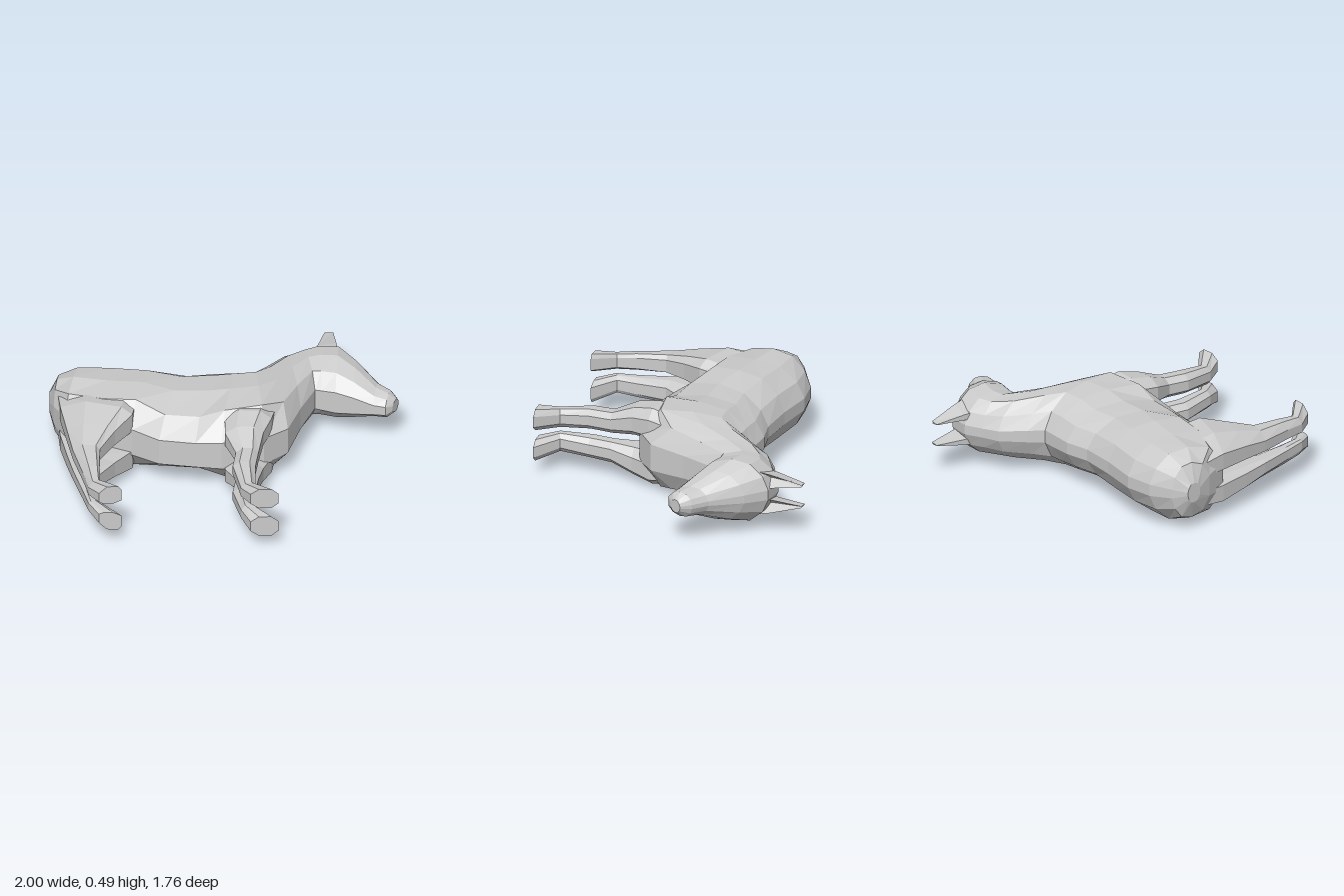
import * as THREE from 'three';

const material = new THREE.MeshStandardMaterial({ color: 0xcccccc, flatShading: true });

// Skin a list of equal-length point rings, close both ends and face it outward.
function loft(name, rings) {
  const tris = [];
  const n = rings[0].length;
  for (let r = 0; r < rings.length - 1; r++) {
    for (let i = 0; i < n; i++) {
      const j = (i + 1) % n;
      const [a, b, c, d] = [rings[r][i], rings[r][j], rings[r + 1][j], rings[r + 1][i]];
      tris.push([a, b, c], [a, c, d]);
    }
  }
  const cap = (ring, flip) => {
    const mid = ring.reduce((m, p) => m.add(p), new THREE.Vector3()).divideScalar(n);
    ring.forEach((p, i) => {
      const q = ring[(i + 1) % n];
      tris.push(flip ? [mid, q, p] : [mid, p, q]);
    });
  };
  cap(rings[0], true);
  cap(rings[rings.length - 1], false);
  const volume = tris.reduce((v, [a, b, c]) => v + a.dot(b.clone().cross(c)), 0);
  const points = tris.flatMap((t) => (volume < 0 ? [t[0], t[2], t[1]] : t));
  const geometry = new THREE.BufferGeometry().setFromPoints(points);
  geometry.computeVertexNormals();
  const mesh = new THREE.Mesh(geometry, material);
  mesh.name = name;
  return mesh;
}

// Body ring between a top and an underside point: half width w, fullness of the lower flank.
// The half outline is [height fraction, width fraction] from underside to top.
function bodyRing([tx, ty, bx, by, w, low]) {
  const half = [[0, 0.37], [0.19, low], [0.48, 1], [0.74, 0.92], [0.92, 0.57], [1, 0.16]];
  const at = ([t, k], s) => new THREE.Vector3(bx + (tx - bx) * t, by + (ty - by) * t, s * k * w);
  return [...half.map((p) => at(p, 1)), ...[...half].reverse().map((p) => at(p, -1))];
}

// Limb outlines: [back to front, inner to outer]
const frontShape = [[0, 0.25], [0, 0.75], [0.3, 1], [0.75, 1], [1, 0.75], [1, 0.25], [0.75, 0], [0.3, 0]];
const hindShape = [[0, 0.1], [0, 0.6], [0.35, 0.97], [0.85, 1], [1, 0.8], [1, 0.2], [0.6, 0], [0.2, 0]];
const earShape = [[0, 0.3], [0, 0.7], [1, 1], [0.45, 0.5], [1, 0]];
function limbRing([bx, by, fx, fy, inner, outer], shape, side) {
  return shape.map(([u, v]) => new THREE.Vector3(
    bx + (fx - bx) * u, by + (fy - by) * u, side * (inner + (outer - inner) * v)));
}

// Rump to upper neck: top x, top y, underside x, underside y, half width, flank fullness
const trunk = [
  [-1.0, 0.23, -0.995, 0.14, 0.06, 0.85],
  [-0.94, 0.3, -0.965, 0.05, 0.17, 0.85],
  [-0.82, 0.37, -0.89, -0.1, 0.22, 0.88],
  [-0.65, 0.4, -0.68, -0.19, 0.225, 0.95],
  [-0.42, 0.37, -0.5, -0.2, 0.235, 0.95],
  [-0.2, 0.36, -0.34, -0.29, 0.22, 0.8],
  [-0.05, 0.395, -0.13, -0.31, 0.22, 0.8],
  [0.08, 0.395, 0.02, -0.31, 0.24, 0.95],
  [0.16, 0.395, 0.26, -0.25, 0.245, 0.98],
  [0.22, 0.48, 0.39, -0.13, 0.22, 0.86],
  [0.32, 0.61, 0.45, 0.1, 0.19, 0.86],
  [0.42, 0.66, 0.52, 0.3, 0.175, 0.86],
];

// Poll to nose
const head = [
  [0.42, 0.66, 0.52, 0.3, 0.175, 0.86],
  [0.51, 0.71, 0.56, 0.29, 0.18, 0.83],
  [0.64, 0.7, 0.64, 0.27, 0.19, 0.8],
  [0.75, 0.595, 0.74, 0.245, 0.15, 0.8],
  [0.88, 0.43, 0.86, 0.21, 0.085, 0.8],
  [0.96, 0.36, 0.93, 0.2, 0.075, 0.8],
  [1.0, 0.3, 0.97, 0.23, 0.04, 0.8],
];

// Limbs: back x, back y, front x, front y, inner, outer
const frontLeg = [
  [0.04, -0.02, 0.32, -0.02, 0.05, 0.2],
  [0.03, -0.18, 0.3, -0.18, 0.04, 0.235],
  [0.04, -0.32, 0.26, -0.3, 0.04, 0.21],
  [0.11, -0.45, 0.24, -0.44, 0.03, 0.155],
  [0.1, -0.58, 0.23, -0.58, 0.03, 0.15],
  [0.16, -0.78, 0.24, -0.75, 0.02, 0.13],
  [0.22, -0.875, 0.38, -0.86, 0.03, 0.16],
];
const hindLeg = [
  [-0.94, 0.05, -0.48, 0.0, 0.03, 0.2],
  [-0.92, -0.08, -0.5, -0.19, 0.03, 0.225],
  [-0.87, -0.28, -0.59, -0.32, 0.03, 0.19],
  [-0.825, -0.45, -0.67, -0.465, 0.025, 0.15],
  [-0.755, -0.66, -0.66, -0.64, 0.025, 0.135],
  [-0.715, -0.79, -0.65, -0.76, 0.02, 0.12],
  [-0.65, -0.88, -0.52, -0.87, 0.03, 0.15],
];
const ear = [
  [0.5, 0.64, 0.63, 0.64, 0.03, 0.13],
  [0.51, 0.71, 0.62, 0.7, 0.035, 0.12],
  [0.54, 0.885, 0.59, 0.885, 0.06, 0.07],
];

export function createModel() {
  const animal = new THREE.Group();
  animal.name = 'animal';
  animal.add(loft('trunkAndNeck', trunk.map(bodyRing)));
  animal.add(loft('head', head.map(bodyRing)));

  // Mirrored pairs
  for (const [label, side] of [['Left', -1], ['Right', 1]]) {
    animal.add(loft('frontLeg' + label, frontLeg.map((r) => limbRing(r, frontShape, side))));
    animal.add(loft('hindLeg' + label, hindLeg.map((r) => limbRing(r, hindShape, side))));
    animal.add(loft('ear' + label, ear.map((r) => limbRing(r, earShape, side))));
  }

  // The animal lies on its side
  animal.rotation.x = -Math.PI / 2;
  animal.position.y = 0.25;
  const model = new THREE.Group();
  model.name = 'lyingAnimal';
  model.add(animal);
  return model;
}
